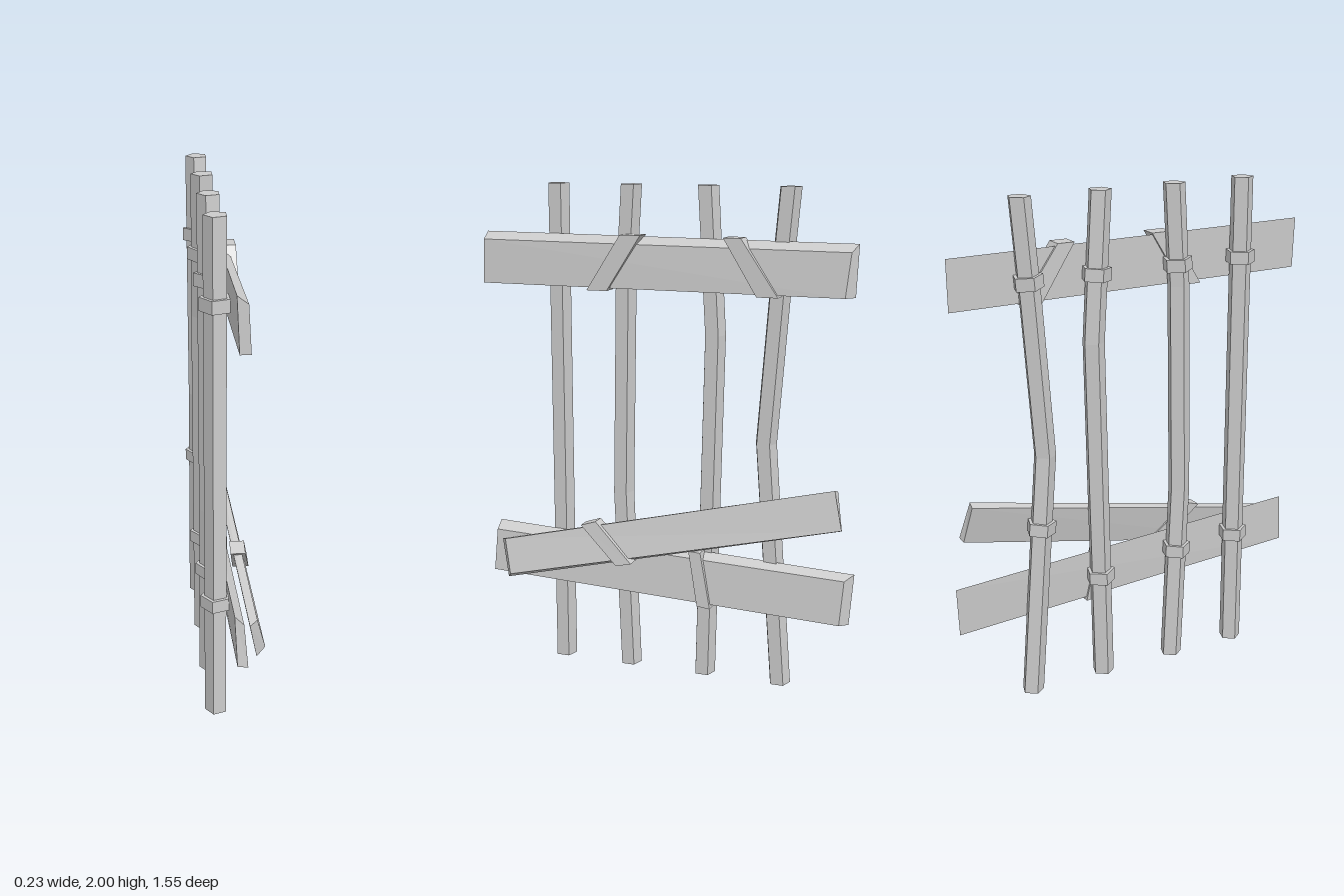
import * as THREE from 'three';

const material = new THREE.MeshStandardMaterial({ color: 0xcccccc, flatShading: true });
const POLE_X = -0.055;

// Six-sided block between two ends; each end lists
// outer top, outer bottom, inner bottom, inner top as [x, y, z].
function block(name, a, b) {
  const quads = [[a[3], a[2], a[1], a[0]], [b[0], b[1], b[2], b[3]]];
  for (let i = 0; i < 4; i++) {
    const j = (i + 1) % 4;
    quads.push([a[i], a[j], b[j], b[i]]);
  }
  const positions = quads.flatMap(([p, q, r, s]) => [p, q, r, p, r, s].flat());
  const geometry = new THREE.BufferGeometry();
  geometry.setAttribute('position', new THREE.Float32BufferAttribute(positions, 3));
  geometry.computeVertexNormals();
  const mesh = new THREE.Mesh(geometry, material);
  mesh.name = name;
  return mesh;
}

// Slanted strap round a plank: one section across its upper edge, one across its lower edge.
// Each section is { y, z: [front, back], x: [inner, outer] }.
function strap(name, top, bottom) {
  const end = (i) => [
    [top.x[1], top.y[i], top.z[i]],
    [bottom.x[1], bottom.y[i], bottom.z[i]],
    [bottom.x[0], bottom.y[i], bottom.z[i]],
    [top.x[0], top.y[i], top.z[i]],
  ];
  return block(name, end(0), end(1));
}

// Five-sided pole whose rows follow a bent centre line of [y, z] points.
function pole(path) {
  const n = path.length - 1;
  const geometry = new THREE.CylinderGeometry(0.045, 0.045, 2, 5, n, false, -Math.PI / 2);
  const pos = geometry.attributes.position;
  for (let i = 0; i < pos.count; i++) {
    const [y, z] = path[Math.round(((pos.getY(i) + 1) / 2) * n)];
    pos.setY(i, y);
    pos.setZ(i, pos.getZ(i) + z);
  }
  geometry.computeVertexNormals();
  const mesh = new THREE.Mesh(geometry, material);
  mesh.position.x = POLE_X;
  mesh.name = 'pole';
  return mesh;
}

// Binding ring round a pole, centred on its path at a given height.
function ring(path, y) {
  const k = path.findIndex((p) => p[0] >= y);
  const [y0, z0] = path[k - 1];
  const [y1, z1] = path[k];
  const geometry = new THREE.CylinderGeometry(0.06, 0.06, 0.05, 5, 1, false, -Math.PI / 2);
  const mesh = new THREE.Mesh(geometry, material);
  mesh.position.set(POLE_X, y, z0 + ((z1 - z0) * (y - y0)) / (y1 - y0));
  mesh.rotation.x = Math.atan2(z1 - z0, y1 - y0);
  mesh.name = 'poleBinding';
  return mesh;
}

export function createModel() {
  const group = new THREE.Group();
  group.name = 'fence';

  // Upright poles with their bindings
  const poles = [
    { path: [[0, 0.48], [2, 0.48]], rings: [0.495, 1.685] },
    { path: [[0, 0.18], [0.75, 0.21], [1.6, 0.195], [2, 0.17]], rings: [0.48, 1.685] },
    { path: [[0, -0.147], [0.35, -0.155], [1.42, -0.18], [2, -0.147]], rings: [0.44, 1.685] },
    { path: [[0, -0.47], [1, -0.395], [1.6, -0.44], [2, -0.475]], rings: [0.705, 1.685] },
  ];
  for (const { path, rings } of poles) {
    group.add(pole(path));
    for (const y of rings) group.add(ring(path, y));
  }

  // Planks
  group.add(
    block('topPlank',
      [[0.03, 1.775, 0.775], [0.04, 1.6, 0.775], [0, 1.6, 0.775], [-0.01, 1.805, 0.775]],
      [[0.01, 1.765, -0.73], [0.025, 1.595, -0.713], [-0.015, 1.595, -0.745], [-0.025, 1.795, -0.752]]),
    block('lowerPlank',
      [[0.025, 0.55, 0.755], [0.04, 0.375, 0.765], [0, 0.38, 0.768], [-0.01, 0.585, 0.752]],
      [[0.01, 0.485, -0.74], [0.025, 0.305, -0.727], [-0.015, 0.3, -0.758], [-0.03, 0.505, -0.772]]),
    block('slantedPlank',
      [[0.08, 0.53, 0.692], [0.115, 0.39, 0.655], [0.08, 0.365, 0.68], [0.05, 0.52, 0.718]],
      [[-0.005, 0.845, -0.69], [0.025, 0.695, -0.727], [-0.005, 0.685, -0.722], [-0.04, 0.835, -0.695]]),
  );

  // Straps round the planks
  group.add(
    strap('topPlankStrap',
      { y: [1.808, 1.808], z: [0.18, 0.095], x: [-0.025, 0.043] },
      { y: [1.588, 1.588], z: [0.32, 0.235], x: [-0.018, 0.048] }),
    strap('topPlankStrap',
      { y: [1.808, 1.808], z: [-0.24, -0.31], x: [-0.03, 0.04] },
      { y: [1.588, 1.588], z: [-0.375, -0.46], x: [-0.022, 0.042] }),
    strap('lowerPlankStrap',
      { y: [0.548, 0.545], z: [-0.105, -0.155], x: [-0.03, 0.035] },
      { y: [0.322, 0.315], z: [-0.145, -0.2], x: [-0.018, 0.045] }),
    strap('slantedPlankStrap',
      { y: [0.622, 0.643], z: [0.35, 0.285], x: [0.012, 0.07] },
      { y: [0.473, 0.488], z: [0.185, 0.12], x: [0.035, 0.1] }),
  );

  return group;
}
